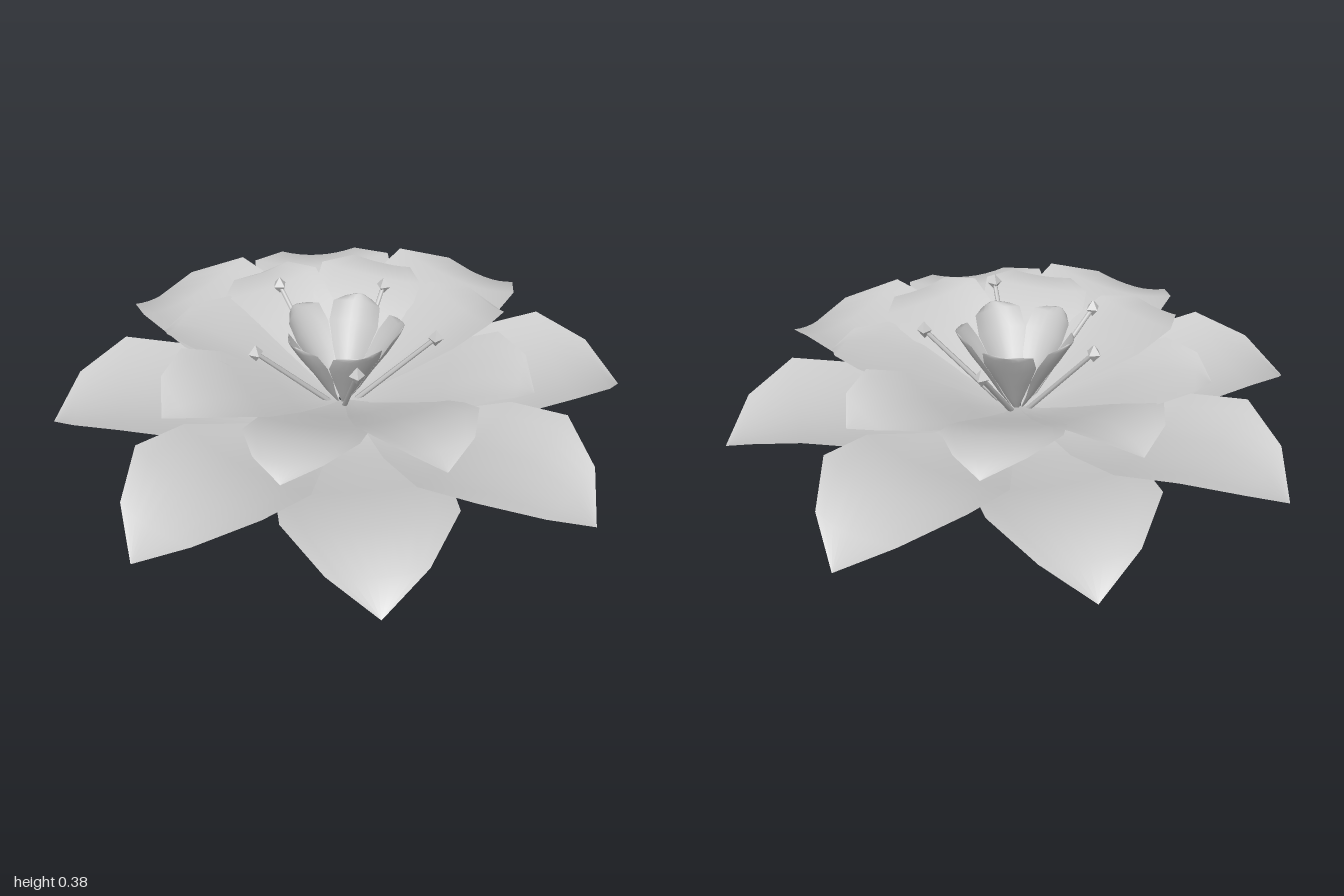
import * as THREE from 'three';

const grey = new THREE.MeshStandardMaterial({ color: 0xcccccc, side: THREE.DoubleSide });
grey.name = 'pale grey';

// Petal rows: [distance from centre, height of midline, half width, lift of the edges]
const OUTER = [
  [0.035, 0.014, 0.012, 0], [0.15, 0.012, 0.065, 0.005], [0.32, 0.028, 0.16, 0.015], [0.54, 0.09, 0.27, 0.04],
  [0.75, 0.138, 0.265, 0.042], [0.91, 0.09, 0.15, 0.025], [1, 0.01, 0, 0],
];
const INNER = [
  [0.012, 0.028, 0.01, 0], [0.1, 0.055, 0.05, 0.003], [0.21, 0.105, 0.115, 0.01], [0.355, 0.178, 0.185, 0.016],
  [0.495, 0.235, 0.19, 0.015], [0.605, 0.23, 0.112, 0.01], [0.66, 0.19, 0, 0],
];
const CENTRE = [
  [0.025, 0.03, 0.01, 0], [0.065, 0.09, 0.032, 0.005], [0.11, 0.17, 0.062, 0.01], [0.16, 0.25, 0.088, 0.01],
  [0.195, 0.312, 0.084, 0.01], [0.206, 0.333, 0.05, 0], [0.208, 0.338, 0.02, 0],
];
// Sideways lean and height of each inner petal, so that they overlap irregularly
const INNER_LEAN = [0.035, 0.035, -0.035, -0.035, 0.01, 0.035, 0.035, 0.035];
const INNER_RISE = [0, -0.008, -0.006, 0.007, 0, 0.007, -0.006, 0.007];

// Petal surface along +x: lean widens one side, roll raises one side,
// rise lifts the broad middle and cup pulls the edges inwards
function petalGeometry(rows, { lean = 0, roll = 0, cup = 0, rise = 0 }) {
  const cols = 8, pos = [], index = [];
  rows.forEach(([r, y, half, lift], i) => {
    const broad = half / 0.2;
    for (let j = 0; j <= cols; j++) {
      const t = (j / cols) * 2 - 1;
      pos.push(
        r - cup * half * t * t,
        y + rise * broad + lift * t * t - roll * half * t,
        t * half - lean * broad * Math.abs(t),
      );
      if (i < rows.length - 1 && j < cols) {
        const a = i * (cols + 1) + j, c = a + cols + 1;
        index.push(a, a + 1, c, a + 1, c + 1, c);
      }
    }
  });
  const g = new THREE.BufferGeometry();
  g.setAttribute('position', new THREE.Float32BufferAttribute(pos, 3));
  g.setIndex(index);
  g.computeVertexNormals();
  return g;
}

function ring(name, count, startDegrees, rows, options) {
  const group = new THREE.Group();
  group.name = name + 's';
  for (let k = 0; k < count; k++) {
    const angle = THREE.MathUtils.degToRad(startDegrees + (k * 360) / count);
    const petal = new THREE.Mesh(petalGeometry(rows, options(angle, k)), grey);
    petal.name = name;
    petal.rotation.y = angle;
    group.add(petal);
  }
  return group;
}

// Thin filament with a faceted diamond head
function stamen(angle, headY) {
  const group = new THREE.Group();
  group.name = 'stamen';
  const from = new THREE.Vector3(0.03, 0.01, 0), to = new THREE.Vector3(0.315, headY, 0);
  const dir = to.clone().sub(from);
  const filament = new THREE.Mesh(new THREE.CylinderGeometry(0.008, 0.01, dir.length(), 6), grey);
  filament.name = 'filament';
  filament.position.copy(from).add(to).multiplyScalar(0.5);
  filament.quaternion.setFromUnitVectors(new THREE.Vector3(0, 1, 0), dir.normalize());
  const head = new THREE.Mesh(new THREE.OctahedronGeometry(0.026), grey);
  head.name = 'stamenHead';
  head.scale.y = 1.25;
  head.position.copy(to);
  group.add(filament, head);
  group.rotation.y = angle;
  return group;
}

export function createModel() {
  const flower = new THREE.Group();
  flower.name = 'flower';

  // Three rings of petals, from the ground up; every second outer petal lies beneath its neighbours
  flower.add(
    ring('outerPetal', 8, 0, OUTER, (a, k) =>
      ({ lean: 0.031 * Math.cos(2 * a), rise: k % 2 ? -0.011 : 0.004 })),
    ring('innerPetal', 8, 22.5, INNER, (a, k) =>
      ({ lean: INNER_LEAN[k], roll: 0.08 * Math.sin(4 * a), rise: INNER_RISE[k] })),
    ring('centrePetal', 5, 21, CENTRE, () => ({ cup: 0.4 })),
  );

  // Stamens, two of them taller
  [0.32, 0.355, 0.32, 0.355, 0.32].forEach((y, k) =>
    flower.add(stamen(THREE.MathUtils.degToRad(11 + 72 * k), y)));
  return flower;
}
